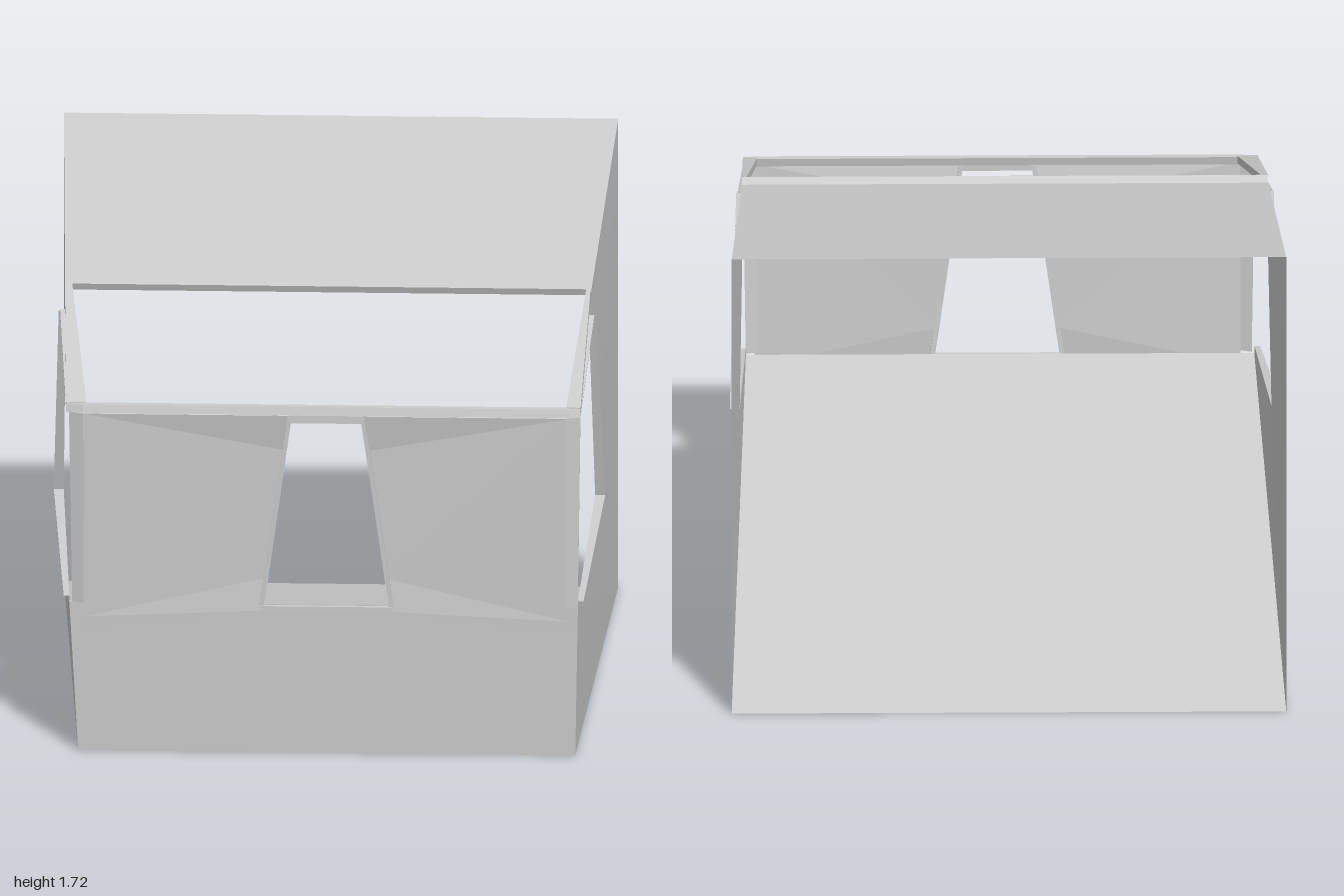
import * as THREE from 'three';

const solid = new THREE.MeshStandardMaterial({ color: 0xcccccc, side: THREE.DoubleSide });

// Mesh from convex polygons, each split into a fan of triangles
function sheet(name, polys) {
  const out = [];
  for (const p of polys)
    for (let i = 1; i < p.length - 1; i++) out.push(...p[0], ...p[i], ...p[i + 1]);
  const g = new THREE.BufferGeometry();
  g.setAttribute('position', new THREE.Float32BufferAttribute(out, 3));
  g.computeVertexNormals();
  const mesh = new THREE.Mesh(g, solid);
  mesh.name = name;
  return mesh;
}

const add = (p, d) => p.map((v, i) => v + d[i]);

// Slab: a polygon given thickness along the vector d
function slab(name, poly, d) {
  const far = poly.map(p => add(p, d));
  const sides = poly.map((p, i) => {
    const j = (i + 1) % poly.length;
    return [p, poly[j], far[j], far[i]];
  });
  return sheet(name, [[...poly].reverse(), far, ...sides]);
}

// Bar from p to q with the section spanned by u and v
const bar = (name, p, q, u, v) => slab(name, [p, q, add(q, u), add(p, u)], v);

// Depth of the slightly leaning windscreen at height y
const frontZ = y => 0.942 + 0.038 * y;

// Corners of one side of the shell (s = 1 left, -1 right)
const corners = s => ({
  backLow: [0.97 * s, 0, -1],
  backHigh: [0.97 * s, 1.72, -1],
  roofFront: [0.92 * s, 1.48, 0.26],
  winTop: [0.915 * s, 1.42, 0.33],
  winRear: [0.93 * s, 0.695, 0.115],
  winFront: [0.89 * s + 0.01, 0.575, 0.95],
  frontLow: [0.87 * s + 0.02, 0, 0.93],
  pillarTop: [0.9 * s + 0.01, 1.255, 0.975],
});

function createSide(s) {
  const side = new THREE.Group();
  side.name = s > 0 ? 'leftSide' : 'rightSide';
  const c = corners(s);
  side.add(sheet('sideWall', [
    [c.backLow, c.frontLow, c.winFront],
    [c.backLow, c.winFront, c.winRear],
    [c.backLow, c.winRear, c.backHigh],
    [c.winRear, c.winTop, c.backHigh],
    [c.winTop, c.roofFront, c.backHigh],
  ]));

  // Raised surround of the side window
  const lip = (name, p, q, a, b, d) => side.add(slab(name,
    [p, q, add(q, [b * s, 0, 0]), add(p, [a * s, 0, 0])], d));
  lip('sideWindowSill', c.winRear, c.winFront, 0.035, 0.02, [0, -0.004, 0]);
  lip('sideWindowRearPost', c.winRear, c.winTop, 0.035, 0.025, [0, 0, -0.004]);
  lip('sideWindowTopRail', c.winTop, c.pillarTop, 0.02, 0, [0, 0.006, 0]);
  side.add(sheet('sideWindowHeader', [[c.roofFront, c.winTop, c.pillarTop, [0.9 * s + 0.01, 1.285, 0.965]]]));

  // Roof window rail, widening towards the front
  side.add(slab('roofWindowRail', [
    [0.92 * s, 1.505, 0.27], [0.9 * s + 0.005, 1.505, 0.27],
    [0.84 * s + 0.02, 1.29, 0.965], [0.9 * s + 0.01, 1.29, 0.972],
  ], [0, -0.028, 0]));

  // Windscreen corner pillar, its face turned slightly outwards
  const pillar = [[0.845, 0.555, 0.01], [0.885, 0.555, -0.004], [0.895, 1.26, -0.006], [0.845, 1.26, 0.012]];
  side.add(slab('frontPillar', pillar.map(([x, y, d]) => [x * s + 0.015, y, frontZ(y) + d]), [0, 0, -0.012]));

  // Front panel beside the middle opening, folded slightly inwards there
  const at = (x, y, depth = 0) => [x * s + 0.02, y, frontZ(y) - depth];
  const foldHigh = at(0.138, 1.12, 0.018), foldLow = at(0.203, 0.65, 0.012);
  const outHigh = at(0.85, 1.255), outLow = at(0.85, 0.5);
  side.add(sheet('frontPanel', [
    [outHigh, foldHigh, foldLow, outLow],
    [outHigh, at(0.12, 1.255), foldHigh],
    [outLow, foldLow, at(0.22, 0.53), at(0.85, 0.46)],
  ]));

  // Post at the edge of the middle opening
  side.add(bar('openingPost', at(0.22, 0.55, -0.003), at(0.12, 1.25, -0.003), [0.015 * s, 0, 0], [0, 0, -0.016]));
  return side;
}

export function createModel() {
  const model = new THREE.Group();
  model.name = 'cabin';
  const l = corners(1), r = corners(-1);
  model.add(createSide(1), createSide(-1));

  // Roof, open at the back
  model.add(sheet('roof', [[r.roofFront, l.roofFront, l.backHigh, r.backHigh]]));

  // Lower front wall, meeting the side walls at the window sills
  const topL = [l.winFront[0], 0.55, 0.95], topR = [r.winFront[0], 0.55, 0.95];
  model.add(sheet('lowerFrontWall', [[r.frontLow, l.frontLow, topL, topR]]));

  // Base plate, and the floor rising from it to the windscreen
  model.add(sheet('basePlate', [[r.frontLow, r.backLow, l.backLow, l.frontLow]]));
  model.add(sheet('slopingFloor', [[r.backLow, topR, topL, l.backLow]]));

  // Cross bars of the roof window and the windscreen
  model.add(bar('roofWindowRearBar', [-0.92, 1.505, 0.27], [0.92, 1.505, 0.27], [0, -0.025, -0.01], [0, -0.002, 0.007]));
  model.add(slab('windscreenTopBar', [
    [-0.89, 1.287, 0.96], [-0.89, 1.287, 0.972], [-0.83, 1.287, 0.985],
    [0.87, 1.287, 0.985], [0.91, 1.287, 0.972], [0.91, 1.287, 0.96],
  ], [0, -0.03, 0.006]));
  model.add(bar('openingTopBar', [-0.11, 1.258, 0.982], [0.15, 1.258, 0.982], [0, -0.028, 0], [0, 0, 0.014]));
  model.add(bar('openingSill', [-0.21, 0.548, 0.952], [0.25, 0.548, 0.952], [0, -0.018, 0], [0, 0, 0.016]));
  return model;
}
